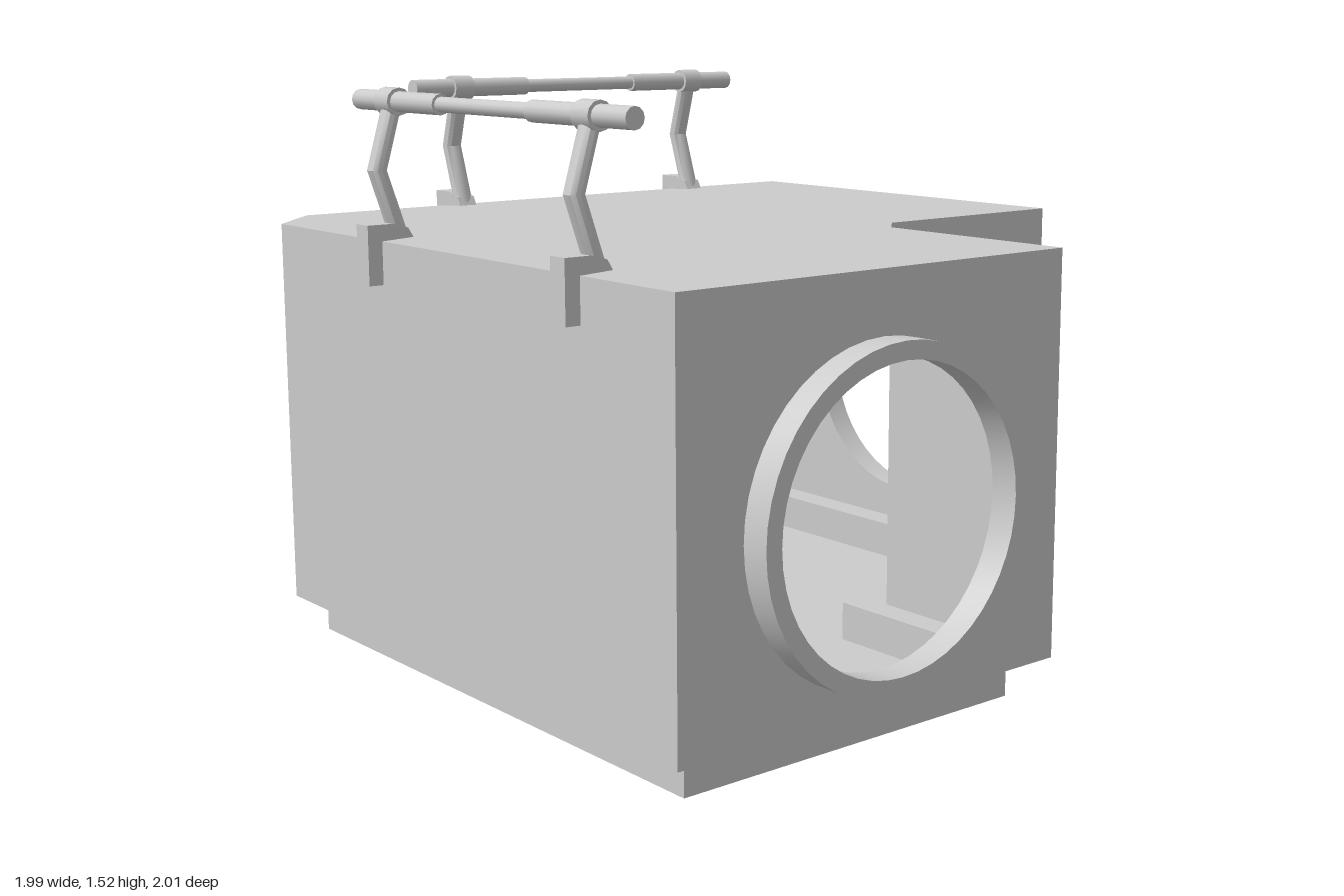
import * as THREE from 'three';
import { toCreasedNormals } from 'three/addons/utils/BufferGeometryUtils.js';

const solid = new THREE.MeshStandardMaterial({ color: 0xcccccc });
const sheet = new THREE.MeshStandardMaterial({ color: 0xcccccc, side: THREE.DoubleSide });

// Plan outlines as [x, z], counter-clockwise seen from above
const bodyPlan = [[-0.96, 0.8], [-0.8, 0.96], [0.915, 0.96], [0.915, -0.24],
  [0.32, -0.24], [0.24, -0.32], [0.24, -0.93], [-0.96, -0.93]];
const basePlan = [[-0.875, 0.77], [-0.77, 0.88], [0.835, 0.88], [0.835, -0.16],
  [0.23, -0.16], [0.16, -0.23], [0.16, -0.845], [-0.875, -0.845]];
const BODY_Y = 0.105, TOP_Y = 1.145;
const PORT_Y = 0.575, PORT_R = 0.415, PORT_INNER = 0.37, PORT_DEPTH = 0.075;

function add(parent, name, geometry, material = solid) {
  const mesh = new THREE.Mesh(geometry, material);
  mesh.name = name;
  parent.add(mesh);
  return mesh;
}

const planPoints = (plan) => plan.map(([x, z]) => new THREE.Vector2(x, -z));

// Horizontal sheet, optionally with a cut-out
function slab(parent, name, plan, y, cutout) {
  const shape = new THREE.Shape(planPoints(plan));
  if (cutout) shape.holes.push(new THREE.Path(planPoints(cutout)));
  add(parent, name, new THREE.ShapeGeometry(shape).rotateX(-Math.PI / 2), sheet).position.y = y;
}

// Upright walls around a plan; ports maps an edge index to the distance along it
function walls(parent, name, plan, y0, y1, ports = {}) {
  plan.forEach(([ax, az], i) => {
    const [bx, bz] = plan[(i + 1) % plan.length];
    const len = Math.hypot(bx - ax, bz - az);
    const side = new THREE.Group();
    side.name = name;
    side.position.set(ax, 0, az);
    side.rotation.y = Math.atan2(az - bz, bx - ax);
    parent.add(side);
    const shape = new THREE.Shape([[0, y0], [len, y0], [len, y1], [0, y1]]
      .map((p) => new THREE.Vector2(...p)));
    if (i in ports) {
      shape.holes.push(new THREE.Path().absarc(ports[i], PORT_Y, PORT_R, 0, Math.PI * 2));
      portRing(side, ports[i]);
    }
    add(side, name + 'Panel', new THREE.ShapeGeometry(shape, 24), sheet);
  });
}

// Round collar standing out from a wall opening
function portRing(parent, x) {
  const ring = new THREE.Shape().absarc(x, PORT_Y, PORT_R, 0, Math.PI * 2);
  ring.holes.push(new THREE.Path().absarc(x, PORT_Y, PORT_INNER, 0, Math.PI * 2));
  const geo = new THREE.ExtrudeGeometry(ring, { depth: PORT_DEPTH, bevelEnabled: false, curveSegments: 24 });
  add(parent, 'portRing', toCreasedNormals(geo, 0.6));
}

// Handrail along x; local z = 0.96 is the wall face
function handrail(name) {
  const rail = new THREE.Group();
  rail.name = name;
  const barY = 1.49, barZ = 0.903;
  const rod = (part, r, length, x) =>
    add(rail, part, new THREE.CylinderGeometry(r, r, length, 12).rotateZ(Math.PI / 2))
      .position.set(x, barY, barZ);
  rod('thinBar', 0.019, 0.44, 0);
  for (const s of [-1, 1]) {
    rod('grip', 0.026, 0.385, s * 0.3875);
    rod('collar', 0.035, 0.065, s * 0.423);

    // Clip over the roof edge
    const clip = new THREE.Shape([[1, 1.035], [0.96, 1.035], [0.96, TOP_Y], [0.87, 1.15],
      [0.885, 1.175], [0.93, 1.187], [1, 1.187]].map((p) => new THREE.Vector2(...p)));
    const clipGeo = new THREE.ExtrudeGeometry(clip, { depth: 0.055, bevelEnabled: false });
    // Shape x becomes z, extrusion becomes -x
    clipGeo.rotateY(-Math.PI / 2).translate(s * 0.423 + 0.0275, 0, 0);
    add(rail, 'edgeClip', clipGeo);

    // Kinked round post: three rings moved to the bends
    const post = new THREE.CylinderGeometry(0.0275, 0.0275, 2, 12, 2, true);
    const bends = [[0.895, 1.15], [0.953, 1.32], [0.903, 1.49]];
    const p = post.attributes.position;
    for (let i = 0; i < p.count; i++) {
      const [z, y] = bends[Math.round(p.getY(i)) + 1];
      p.setXYZ(i, p.getX(i) + s * 0.423, y, z + p.getZ(i) * 0.85);
    }
    add(rail, 'post', toCreasedNormals(post, 0.55));
  }
  return rail;
}

export function createModel() {
  const model = new THREE.Group();
  model.name = 'cornerModule';

  // Hollow L-shaped body with an opening at the end of each arm
  walls(model, 'bodyWall', bodyPlan, BODY_Y, TOP_Y, { 2: 0.6, 6: 0.582 });
  slab(model, 'roof', bodyPlan, TOP_Y);
  slab(model, 'ledge', bodyPlan, BODY_Y, basePlan);

  // Inset base
  walls(model, 'baseWall', basePlan, 0, BODY_Y);
  slab(model, 'floor', basePlan, 0);

  // Handrails on the front and right edges
  const front = handrail('frontHandrail');
  front.position.x = 0.13;
  const side = handrail('sideHandrail');
  side.rotation.y = -Math.PI / 2;
  side.position.z = -0.1;
  model.add(front, side);
  return model;
}
